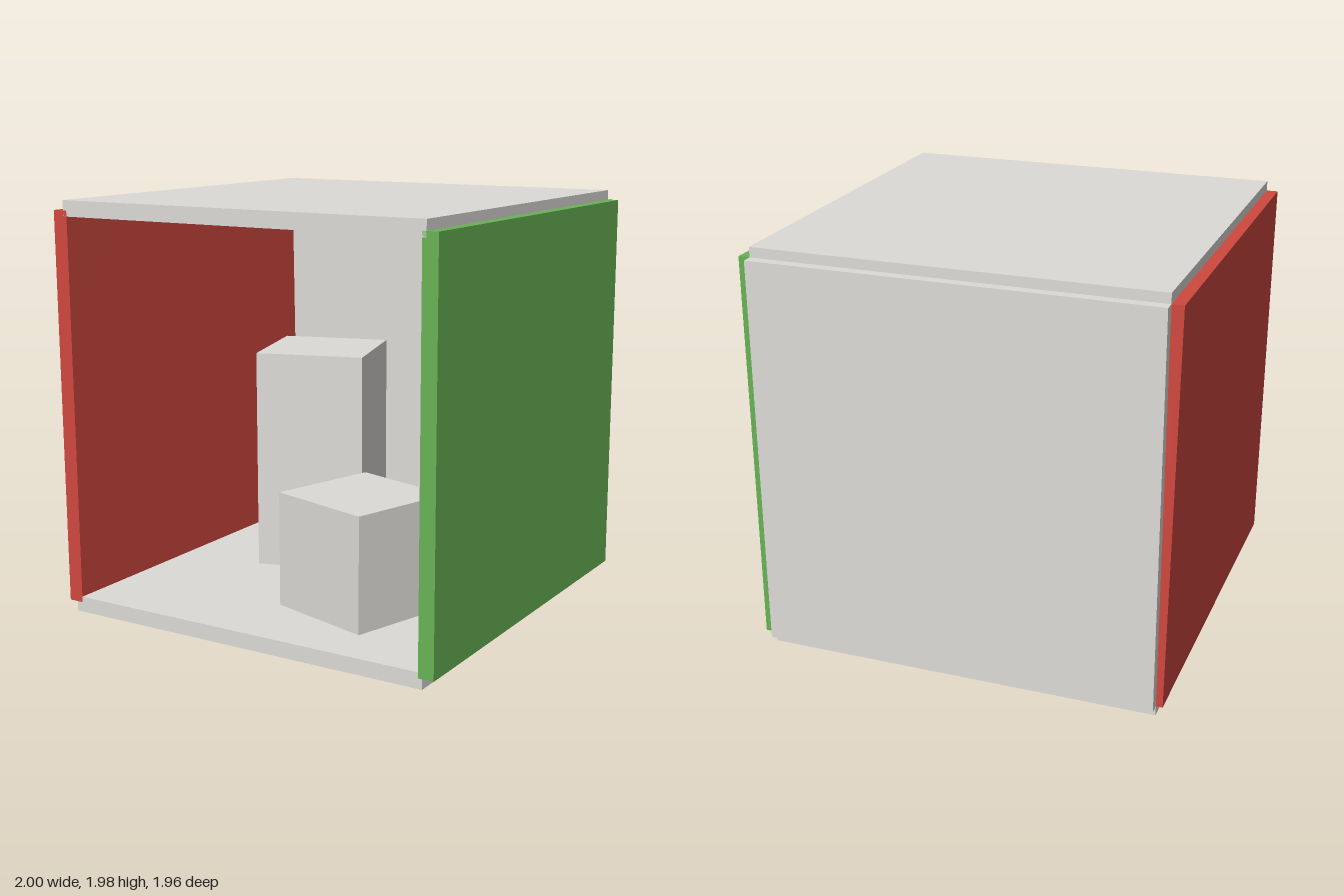
import * as THREE from 'three';

const paint = (name, color) => {
  const material = new THREE.MeshStandardMaterial({ color });
  material.name = name;
  return material;
};

export function createModel() {
  const white = paint('warm white', 0xdddbd7);
  const red = paint('red', 0xd0483f);
  const green = paint('green', 0x69b355);
  const room = new THREE.Group();
  room.name = 'room';

  const addBox = (name, material, size, position, turn = 0) => {
    const mesh = new THREE.Mesh(new THREE.BoxGeometry(...size), material);
    mesh.name = name;
    mesh.position.set(...position);
    mesh.rotation.y = turn;
    room.add(mesh);
    return mesh;
  };

  // Room shell, open at the front
  const t = 0.075;
  const span = 1.89, depth = 1.91, height = 1.88;
  const midY = 0.9875, midZ = 0.025;
  addBox('floor', white, [span, t, depth], [0, t / 2, midZ]);
  addBox('ceiling', white, [span, t, depth], [0, 1.975 - t / 2, midZ]);
  addBox('backWall', white, [span, height, t], [0, midY, -0.98 + t / 2]);
  addBox('leftWall', green, [t, height, depth], [1 - t / 2, midY, midZ]);
  const rightWall = addBox('rightWall', red, [t, height, depth], [-1 + t / 2, midY, midZ]);

  // The right wall leans in slightly at its foot, more so at the back
  const corners = rightWall.geometry.attributes.position;
  for (let i = 0; i < corners.count; i++) {
    if (corners.getY(i) > 0) continue;
    corners.setX(i, corners.getX(i) + (corners.getZ(i) > 0 ? 0.01 : 0.024));
  }
  rightWall.geometry.computeVertexNormals();

  // Two turned blocks standing on the floor
  const addBlock = (name, side, top, x, z, degrees) =>
    addBox(name, white, [side, top - t, side], [x, (top + t) / 2, z],
      THREE.MathUtils.degToRad(degrees));
  addBlock('tallBlock', 0.545, 1.175, -0.3, -0.227, 17.1);
  addBlock('shortBlock', 0.55, 0.627, 0.305, 0.395, -16.6);

  return room;
}
